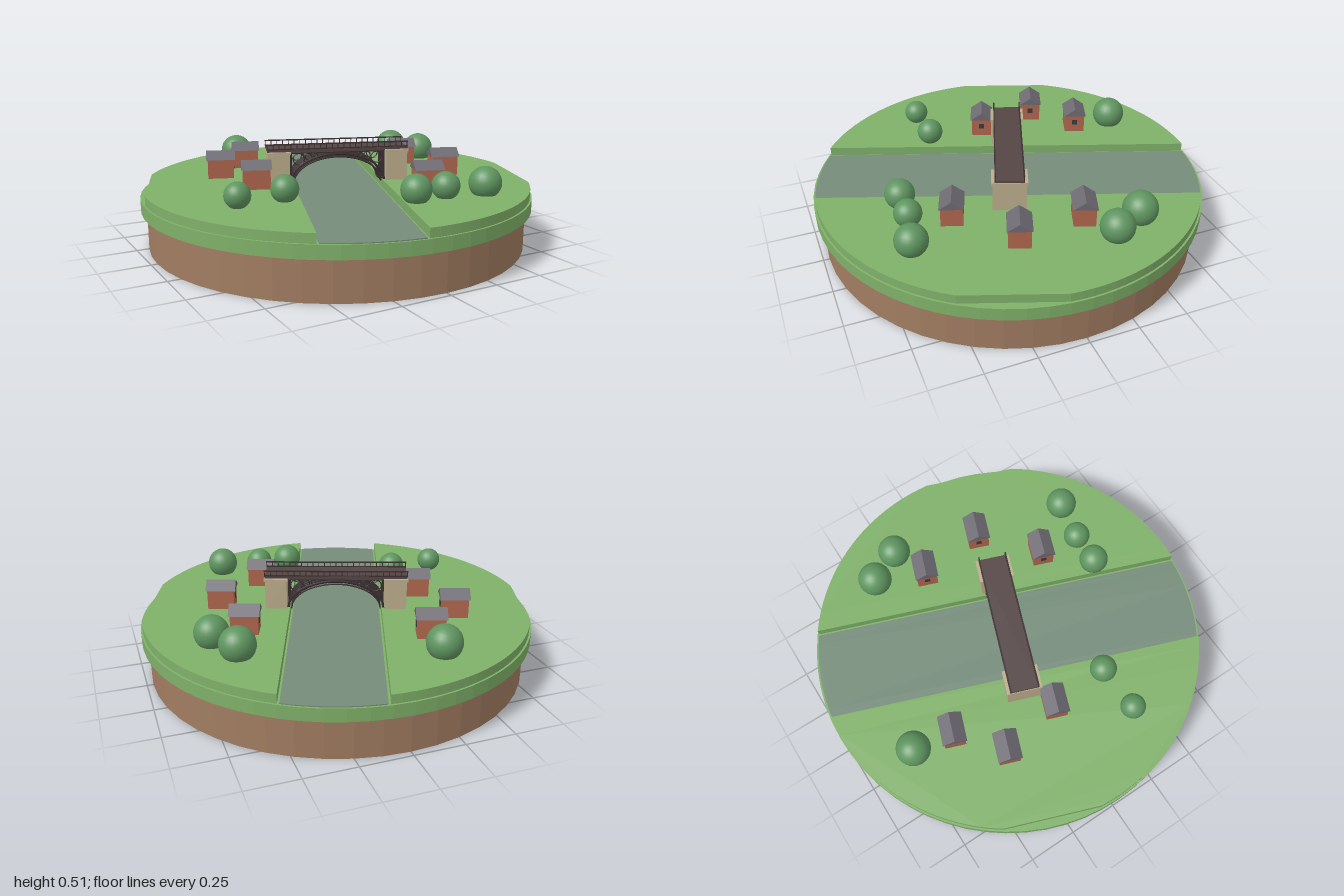
import * as THREE from 'three';

const mat = (name, color, extra = {}) => {
  const m = new THREE.MeshStandardMaterial({ color, ...extra });
  m.name = name;
  return m;
};

export function createModel() {
  const M = {
    earth: mat('earth brown', 0xa17c61, { flatShading: true }),
    grass: mat('grass green', 0x7fb069, { flatShading: true }),
    water: mat('river water', 0x758c7a),
    stone: mat('pale stone', 0xbcae8c),
    iron: mat('dark iron', 0x3a2f30),
    deck: mat('deck brown', 0x564646),
    brick: mat('red brick', 0xb0674e),
    slate: mat('roof slate', 0x6d6a72, { flatShading: true }),
    glass: mat('window dark', 0x3a3a42),
    leaf: mat('leaf green', 0x5f9560),
  };
  const model = new THREE.Group();
  model.name = 'riverBridgeIsland';

  const add = (parent, name, geo, material, x = 0, y = 0, z = 0) => {
    const m = new THREE.Mesh(geo, material);
    m.name = name;
    m.position.set(x, y, z);
    parent.add(m);
    return m;
  };
  const box = (parent, name, material, w, h, d, x, y, z) =>
    add(parent, name, new THREE.BoxGeometry(w, h, d), material, x, y, z);

  // Round base: earth with a grass disc on top
  add(model, 'earthBase', new THREE.CylinderGeometry(0.97, 0.97, 0.2, 48), M.earth, 0, 0.1, 0);
  add(model, 'grassDisc', new THREE.CylinderGeometry(1, 1, 0.065, 64), M.grass, 0, 0.2325, 0);

  // River, banks and bridge share one frame turned by 20 degrees
  const land = new THREE.Group();
  land.name = 'valley';
  land.rotation.y = -Math.PI / 9;
  model.add(land);

  // Slice of a disc between two parallel chords
  const slab = (u0, u1, r, h) => {
    const a0 = Math.acos(u1 / r), a1 = Math.acos(u0 / r), n = 20, upper = [];
    for (let i = 0; i <= n; i++) {
      const a = a0 + ((a1 - a0) * i) / n;
      upper.push(new THREE.Vector2(r * Math.cos(a), r * Math.sin(a)));
    }
    const lower = upper.map((p) => new THREE.Vector2(p.x, -p.y)).reverse();
    const geo = new THREE.ExtrudeGeometry(new THREE.Shape([...upper, ...lower]), { depth: h, bevelEnabled: false });
    return geo.rotateX(-Math.PI / 2);
  };
  add(land, 'river', slab(-0.225, 0.225, 0.99, 0.005), M.water, 0, 0.265, 0);
  add(land, 'rightBank', slab(0.235, 0.96, 0.99, 0.045), M.grass, 0, 0.265, 0);
  add(land, 'leftBank', slab(-0.96, -0.235, 0.99, 0.045), M.grass, 0, 0.265, 0);

  // Bridge
  const bridge = new THREE.Group();
  bridge.name = 'bridge';
  land.add(bridge);
  for (const s of [-1, 1]) {
    box(bridge, 'abutment', M.stone, 0.11, 0.15, 0.165, s * 0.305, 0.385, 0);
    box(bridge, 'abutmentCap', M.stone, 0.122, 0.012, 0.176, s * 0.305, 0.464, 0);
  }
  box(bridge, 'deck', M.deck, 0.725, 0.016, 0.144, 0, 0.473, 0);

  // Arched iron ribs with rings in the spandrels
  const archY = (u, a = 0.245, rise = 0.15) => 0.302 + rise * Math.sqrt(Math.max(0, 1 - (u / a) ** 2));
  const archCurve = (a, rise) => {
    const pts = [];
    for (let i = 0; i <= 20; i++) {
      const t = Math.PI * (1 - i / 20);
      pts.push(new THREE.Vector3(a * Math.cos(t), 0.302 + rise * Math.sin(t), 0));
    }
    return new THREE.CatmullRomCurve3(pts);
  };
  const outerRib = new THREE.TubeGeometry(archCurve(0.245, 0.15), 36, 0.006, 6);
  const innerRib = new THREE.TubeGeometry(archCurve(0.228, 0.134), 36, 0.004, 6);
  const rings = [[0.202, 0.029], [0.152, 0.017], [0.116, 0.01]];
  for (let i = 0; i < 5; i++) {
    const z = -0.06 + i * 0.03;
    add(bridge, 'archRib', outerRib, M.iron, 0, 0, z);
    add(bridge, 'innerArchRib', innerRib, M.iron, 0, 0, z);
    box(bridge, 'deckBeam', M.iron, 0.5, 0.008, 0.008, 0, 0.462, z);
    for (const s of [-1, 1]) {
      box(bridge, 'ribPost', M.iron, 0.007, 0.155, 0.007, s * 0.241, 0.386, z);
      if (i % 4 === 0)
        for (const [u, r] of rings)
          add(bridge, 'spandrelRing', new THREE.TorusGeometry(r, 0.003, 6, 20), M.iron, s * u, 0.459 - r, z);
    }
  }
  for (const u of [-0.22, -0.17, -0.1, 0, 0.1, 0.17, 0.22])
    box(bridge, 'crossTie', M.iron, 0.006, 0.006, 0.12, u, archY(u), 0);

  // Railings
  for (const s of [-1, 1]) {
    const z = s * 0.069;
    box(bridge, 'handRail', M.iron, 0.73, 0.006, 0.006, 0, 0.508, z);
    box(bridge, 'lowerRail', M.iron, 0.73, 0.005, 0.005, 0, 0.484, z);
    for (let i = 0; i <= 24; i++)
      box(bridge, 'railPost', M.iron, 0.004, 0.032, 0.004, -0.362 + (i * 0.724) / 24, 0.493, z);
  }

  // Houses, each with a window facing the river
  const gable = new THREE.Shape([
    new THREE.Vector2(-0.06, 0), new THREE.Vector2(0.06, 0), new THREE.Vector2(0, 0.042),
  ]);
  const roofGeo = new THREE.ExtrudeGeometry(gable, { depth: 0.15, bevelEnabled: false });
  roofGeo.translate(0, 0, -0.075).rotateY(Math.PI / 2);
  const spots = [
    [-0.295, -0.515], [-0.51, -0.335], [-0.445, -0.015],
    [0.525, -0.18], [0.565, 0.165], [0.295, 0.4],
  ];
  for (const [x, z] of spots) {
    const house = new THREE.Group();
    house.name = 'house';
    house.position.set(x, 0.31, z);
    house.rotation.y = -Math.PI / 9;
    model.add(house);
    box(house, 'walls', M.brick, 0.134, 0.1, 0.106, 0, 0.05, 0);
    add(house, 'roof', roofGeo, M.slate, 0, 0.098, 0);
    box(house, 'window', M.glass, 0.004, 0.028, 0.028, -Math.sign(x) * 0.068, 0.058, 0);
  }

  // Round trees
  const trees = [
    [-0.265, -0.72, 0.086], [0.62, -0.43, 0.087], [0.705, -0.265, 0.084], [-0.675, 0.3, 0.063],
    [-0.435, 0.29, 0.068], [0.09, 0.6, 0.075], [0.255, 0.605, 0.069], [0.46, 0.645, 0.08],
  ];
  for (const [x, z, r] of trees)
    add(model, 'tree', new THREE.SphereGeometry(r, 24, 16), M.leaf, x, 0.366, z);

  return model;
}
